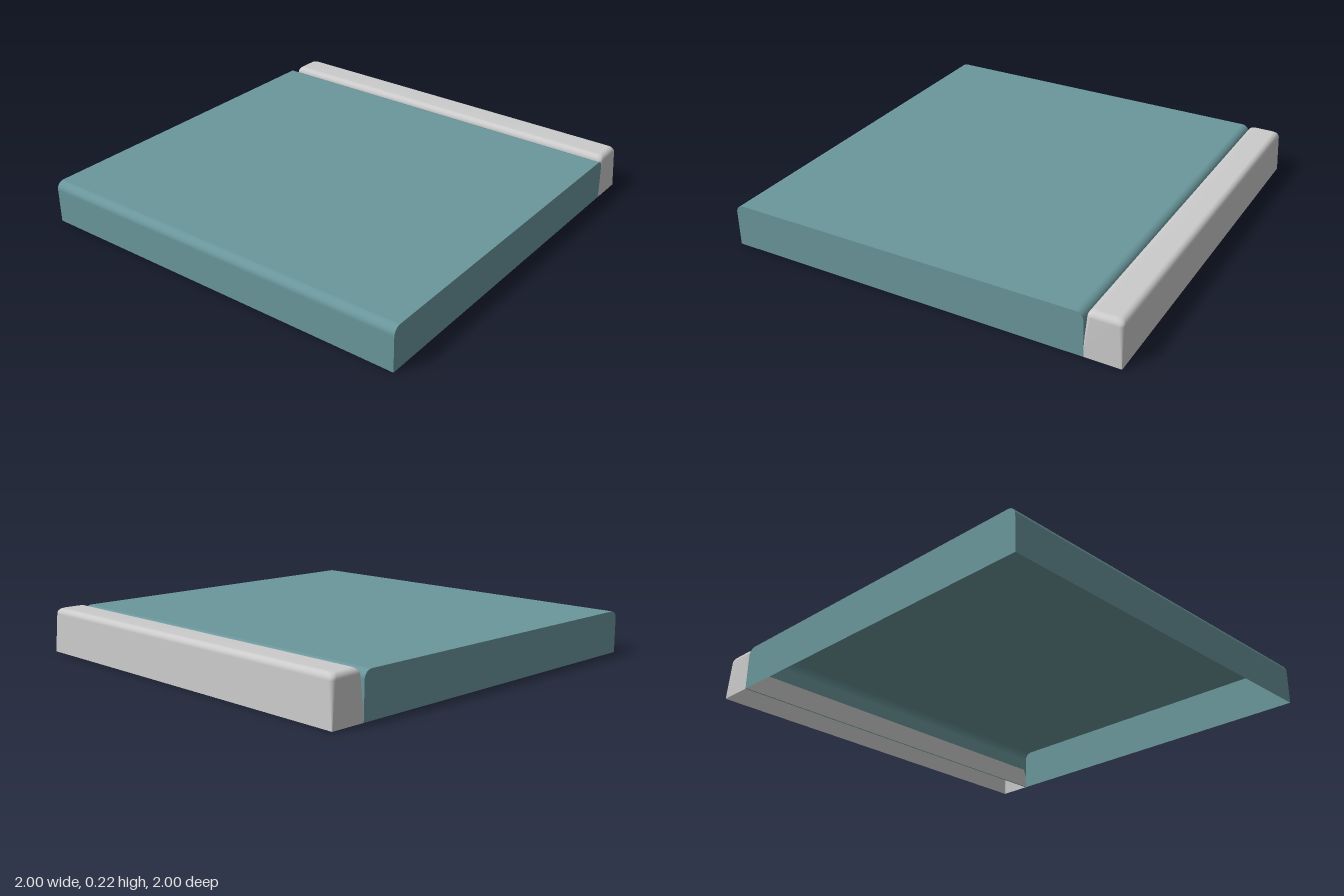
import * as THREE from 'three';

const teal = new THREE.MeshStandardMaterial({ color: 0x6a979c, side: THREE.DoubleSide });
const grey = new THREE.MeshStandardMaterial({ color: 0xcccccc, side: THREE.DoubleSide });

// Indexed geometry with area-weighted smooth normals
function smoothGeometry(positions, index) {
  const g = new THREE.BufferGeometry();
  g.setAttribute('position', new THREE.Float32BufferAttribute(positions, 3));
  g.setIndex(index);
  g.computeVertexNormals();
  return g;
}

function named(geometry, material, name) {
  const mesh = new THREE.Mesh(geometry, material);
  mesh.name = name;
  return mesh;
}

// Paving slab: open-bottomed shell, rounded along its two long top edges
function createSlab() {
  const group = new THREE.Group();
  group.name = 'slab';
  const h = 0.214, r = 0.04, xl = -1, xr = 0.822, steps = 8;
  const profile = [[xl, 0]];
  for (const [cx, start] of [[xl + r, Math.PI], [xr - r, Math.PI / 2]]) {
    for (let i = 0; i <= steps; i++) {
      const a = start - (i / steps) * Math.PI / 2;
      profile.push([cx + r * Math.cos(a), h - r + r * Math.sin(a)]);
    }
  }
  profile.push([xr + 0.004, 0]);

  // Top and side walls swept from back to front
  const positions = [], index = [];
  profile.forEach(([x, y], i) => {
    positions.push(x, y, -1, x, y, 1);
    if (i) {
      const a = 2 * (i - 1);
      index.push(a, a + 1, a + 3, a, a + 3, a + 2);
    }
  });
  group.add(named(smoothGeometry(positions, index), teal, 'slabSurface'));

  // Flat front and back walls
  const outline = new THREE.Shape(profile.map(([x, y]) => new THREE.Vector2(x, y)));
  const front = named(new THREE.ShapeGeometry(outline), teal, 'slabFrontWall');
  front.position.z = 1;
  const backGeometry = new THREE.ShapeGeometry(outline);
  backGeometry.index.array.reverse();
  backGeometry.attributes.normal.array.forEach((v, i, a) => { a[i] = -v; });
  const back = named(backGeometry, teal, 'slabBackWall');
  back.position.z = -1;
  group.add(front, back);
  return group;
}

// Kerb: open-bottomed shell lofted from rounded rectangles that draw in upwards
function createKerb() {
  const h = 0.225, r = 0.03, taper = 0.005, arcSteps = 6, cornerSteps = 5;
  const levels = [[0, 0, 0.003]];
  for (let i = 0; i <= arcSteps; i++) {
    const a = (i / arcSteps) * Math.PI / 2;
    levels.push([h - r + r * Math.sin(a), taper + r * (1 - Math.cos(a)), 0.022]);
  }
  const ring = 4 * (cornerSteps + 1);
  const positions = [], index = [];
  levels.forEach(([y, inset, radius], level) => {
    // The side facing the slab leans a little more
    const lean = level ? 0.005 : 0;
    const x0 = 0.818 + inset + lean, x1 = 1 - inset, z1 = 1 - inset;
    const corners = [[x1 - radius, z1 - radius], [x0 + radius, z1 - radius],
      [x0 + radius, radius - z1], [x1 - radius, radius - z1]];
    corners.forEach(([cx, cz], c) => {
      for (let k = 0; k <= cornerSteps; k++) {
        const a = (c + k / cornerSteps) * Math.PI / 2;
        positions.push(cx + radius * Math.cos(a), y, cz + radius * Math.sin(a));
      }
    });
    if (!level) return;
    for (let j = 0; j < ring; j++) {
      const a = (level - 1) * ring + j, b = (level - 1) * ring + (j + 1) % ring;
      index.push(a, a + ring, b, b, a + ring, b + ring);
    }
  });
  // Flat top
  const centre = positions.length / 3, last = centre - ring;
  positions.push(0.91, h, 0);
  for (let j = 0; j < ring; j++) index.push(centre, last + (j + 1) % ring, last + j);
  return named(smoothGeometry(positions, index), grey, 'kerb');
}

export function createModel() {
  const model = new THREE.Group();
  model.name = 'pavementTile';
  model.add(createSlab(), createKerb());
  return model;
}
